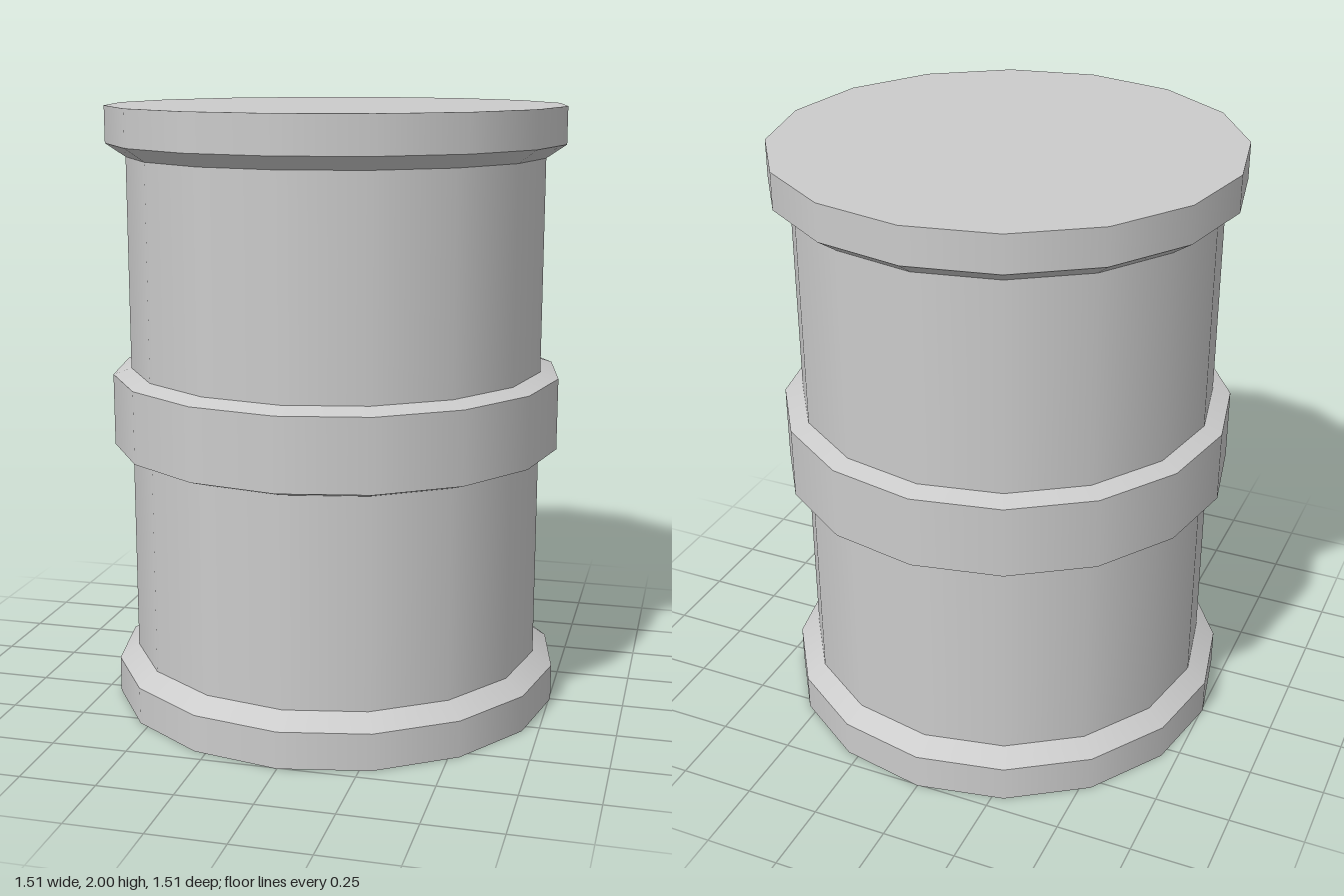
import * as THREE from 'three';

const SIDES = 16;
const BODY_R = 0.69, RIM_R = 0.755, BAND_R = 0.75;

export function createModel() {
  const group = new THREE.Group();
  group.name = 'barrel';
  const material = new THREE.MeshStandardMaterial({ color: 0xcccccc });

  const add = (name, geometry, parent = group) => {
    const mesh = new THREE.Mesh(geometry, material);
    mesh.name = name;
    parent.add(mesh);
    return mesh;
  };

  // One ring of wall: smooth around, with sharp edges above and below
  const wall = (name, r0, r1, y0, y1, parent) => {
    const geometry = new THREE.CylinderGeometry(r1, r0, y1 - y0, SIDES, 1, true);
    add(name, geometry.translate(0, (y0 + y1) / 2, 0), parent);
  };

  // Flat disc closing an end of the barrel
  const lid = (name, y, tilt, parent) => {
    const mesh = add(name, new THREE.CircleGeometry(RIM_R, SIDES), parent);
    mesh.rotation.x = tilt;
    mesh.position.y = y;
  };

  const part = (name) => {
    const p = new THREE.Group();
    p.name = name;
    group.add(p);
    return p;
  };

  // Bottom rim with its bevel
  const bottom = part('bottomRim');
  lid('base', 0, Math.PI / 2, bottom);
  wall('bottomRimWall', RIM_R, RIM_R, 0, 0.122, bottom);
  wall('bottomRimBevel', RIM_R, BODY_R, 0.122, 0.168, bottom);

  // Body, above and below the middle band
  wall('lowerBody', BODY_R, BODY_R, 0.168, 0.862);
  wall('upperBody', BODY_R, BODY_R, 1.14, 1.836);

  // Middle band, bevelled on both edges
  const band = part('middleBand');
  wall('bandLowerBevel', BODY_R, BAND_R, 0.862, 0.882, band);
  wall('bandWall', BAND_R, BAND_R, 0.882, 1.12, band);
  wall('bandUpperBevel', BAND_R, BODY_R, 1.12, 1.14, band);

  // Top rim with its bevel
  const top = part('topRim');
  wall('topRimBevel', BODY_R, RIM_R, 1.836, 1.88, top);
  wall('topRimWall', RIM_R, RIM_R, 1.88, 2, top);
  lid('lid', 2, -Math.PI / 2, top);

  return group;
}
